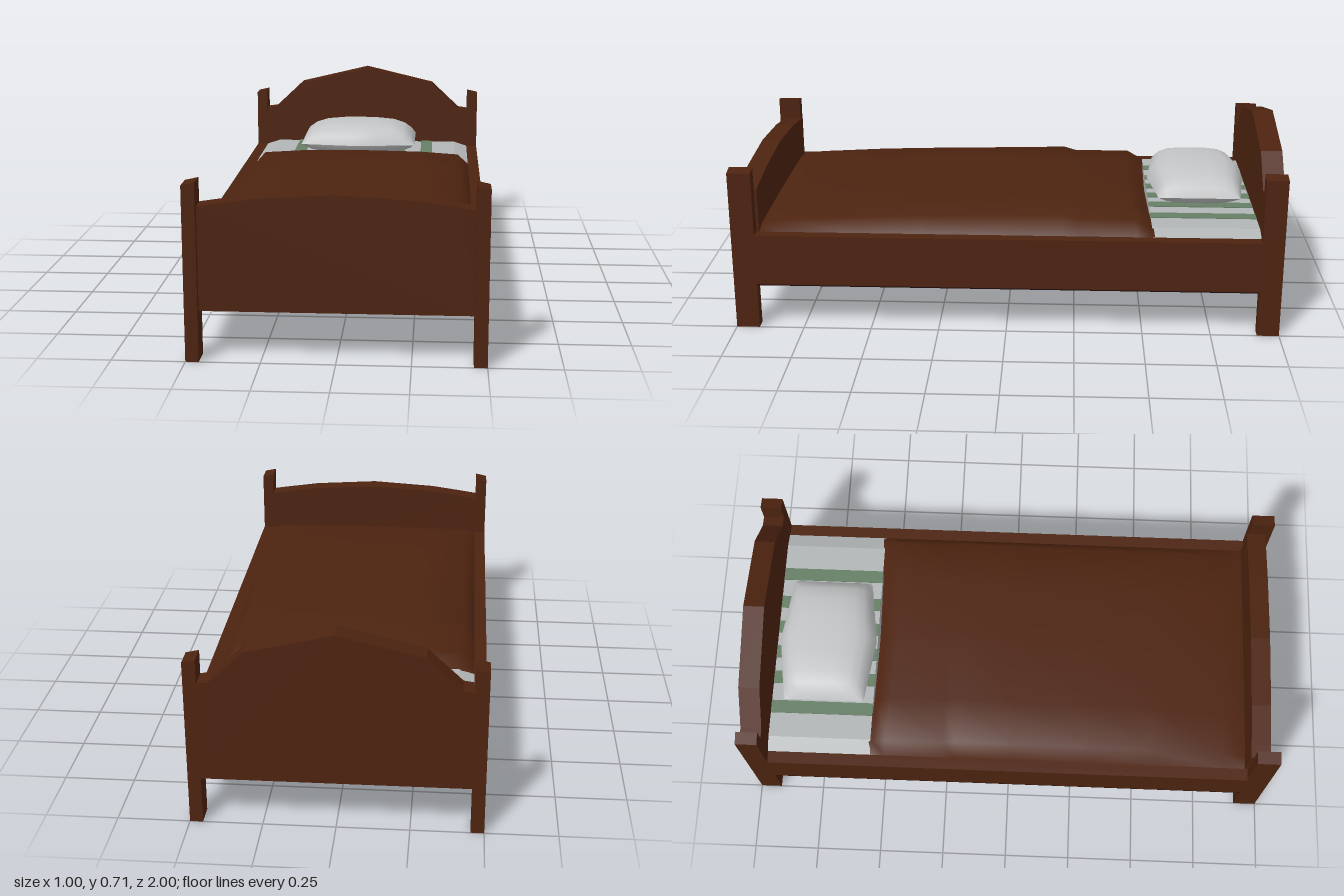
import * as THREE from 'three';

const mat = (name, color, side = THREE.FrontSide) => {
  const m = new THREE.MeshStandardMaterial({ color, side });
  m.name = name;
  return m;
};

export function createModel() {
  const bed = new THREE.Group();
  bed.name = 'bed';
  const wood = mat('brown wood', 0x4d2310);
  const blanketCloth = mat('brown blanket', 0x4d2310, THREE.DoubleSide);
  const shade = mat('dark underside', 0x1c0a0c);
  const sheet = mat('pale sheet', 0xb2b6b6);
  const green = mat('green stripe', 0x667f66);
  const pillowCloth = mat('pillow white', 0xc4c5c6, THREE.DoubleSide);

  const add = (name, geometry, material) => {
    const mesh = new THREE.Mesh(geometry, material);
    mesh.name = name;
    bed.add(mesh);
    return mesh;
  };
  // box given by its limits on each axis
  const box = (name, x0, x1, y0, y1, z0, z1, material) => {
    const g = new THREE.BoxGeometry(x1 - x0, y1 - y0, z1 - z0);
    g.translate((x0 + x1) / 2, (y0 + y1) / 2, (z0 + z1) / 2);
    return add(name, g, material);
  };
  // outline in x and y, extruded along z
  const slab = (name, points, z0, z1, material) => {
    const shape = new THREE.Shape(points.map(([x, y]) => new THREE.Vector2(x, y)));
    const g = new THREE.ExtrudeGeometry(shape, { depth: z1 - z0, bevelEnabled: false });
    g.translate(0, 0, z0);
    return add(name, g, material);
  };
  // mirrored upper outline from the middle out to the edge
  const board = (name, half, z0, z1) => {
    const left = half.slice(1).reverse().map(([x, y]) => [-x, y]);
    return slab(name, [[0.455, 0.17], ...half.slice().reverse(), ...left.reverse(), [-0.455, 0.17]], z0, z1, wood);
  };
  // sheet of points f(u, v) -> [x, y, z], listed at the given steps
  const surface = (us, vs, f, flip = false) => {
    const pos = [], index = [], n = us.length;
    vs.forEach((v) => us.forEach((u) => pos.push(...f(u, v))));
    for (let j = 0; j < vs.length - 1; j++) {
      for (let i = 0; i < n - 1; i++) {
        const a = j * n + i, b = a + 1, c = a + n, d = c + 1;
        if (flip) index.push(a, b, c, b, d, c);
        else index.push(a, c, b, b, c, d);
      }
    }
    const g = new THREE.BufferGeometry();
    g.setAttribute('position', new THREE.Float32BufferAttribute(pos, 3));
    g.setIndex(index);
    g.computeVertexNormals();
    return g;
  };

  // posts with slightly sloped tops, rails
  for (const s of [-1, 1]) {
    const side = s < 0 ? 'right' : 'left';
    const post = [[0.455, 0], [0.5, 0], [0.5, 0.6], [0.455, 0.61]].map(([x, y]) => [s * x, y]);
    slab(side + 'FrontPost', post, 0.915, 1, wood);
    slab(side + 'BackPost', post, -1, -0.92, wood);
    const [a, b] = s < 0 ? [-0.5, -0.455] : [0.455, 0.5];
    box(side + 'Rail', a, b, 0.172, 0.362, -0.92, 0.915, wood);
    box(side + 'RailUnderside', a, b, 0.168, 0.172, -0.92, 0.915, shade);
  }

  // end boards and base
  board('headboard', [[0, 0.715], [0.295, 0.645], [0.415, 0.532], [0.455, 0.526]], -1, -0.922);
  board('footboard', [[0, 0.57], [0.26, 0.554], [0.41, 0.533], [0.455, 0.526]], 0.905, 0.977);
  box('basePanel', -0.455, 0.455, 0.17, 0.185, -0.925, 0.91, wood);

  // mattress end with painted stripes
  slab('mattress', [[-0.455, 0.3], [0.455, 0.3], [0.455, 0.362], [0.4, 0.38], [-0.4, 0.38], [-0.455, 0.362]],
    -0.922, -0.53, sheet);
  [-0.28, -0.16, -0.055, 0.05, 0.155, 0.275].forEach((x, i) =>
    box('sheetStripe' + (i + 1), x - 0.025, x + 0.025, 0.379, 0.383, -0.922, -0.53, green));

  // blanket, domed across the bed with a folded top end
  const run = [[-0.54, 0.382], [-0.525, 0.39], [-0.475, 0.43], [-0.25, 0.432], [-0.205, 0.45], [0, 0.443],
    [0.3, 0.435], [0.55, 0.425], [0.82, 0.405], [0.908, 0.38]];
  const dome = [[-0.456, 0], [-0.41, 0.75], [-0.25, 0.93], [0, 1], [0.25, 0.93], [0.41, 0.75], [0.456, 0]];
  add('blanket', surface(dome, run, ([x, k], [z, h]) => {
    const bow = z < -0.4 ? 0.02 * (1 - (x / 0.456) ** 2) : 0;
    return [x, 0.361 + (h - 0.361) * k, z + bow];
  }), blanketCloth);

  // pillow halves meeting at a seam
  const steps = [-1, -0.93, -0.8, -0.6, -0.3, 0, 0.3, 0.6, 0.8, 0.93, 1];
  const half = (rise, flip) => surface(steps, steps, (u, v) => [
    -0.02 + 0.245 * u,
    0.432 + rise * Math.pow((1 - u ** 4) * (1 - v ** 4), 0.6),
    -0.715 + v * (0.153 + 0.034 * (1 - Math.abs(u))),
  ], flip);
  add('pillowTop', half(0.083, false), pillowCloth);
  add('pillowBottom', half(-0.05, true), pillowCloth);

  return bed;
}
